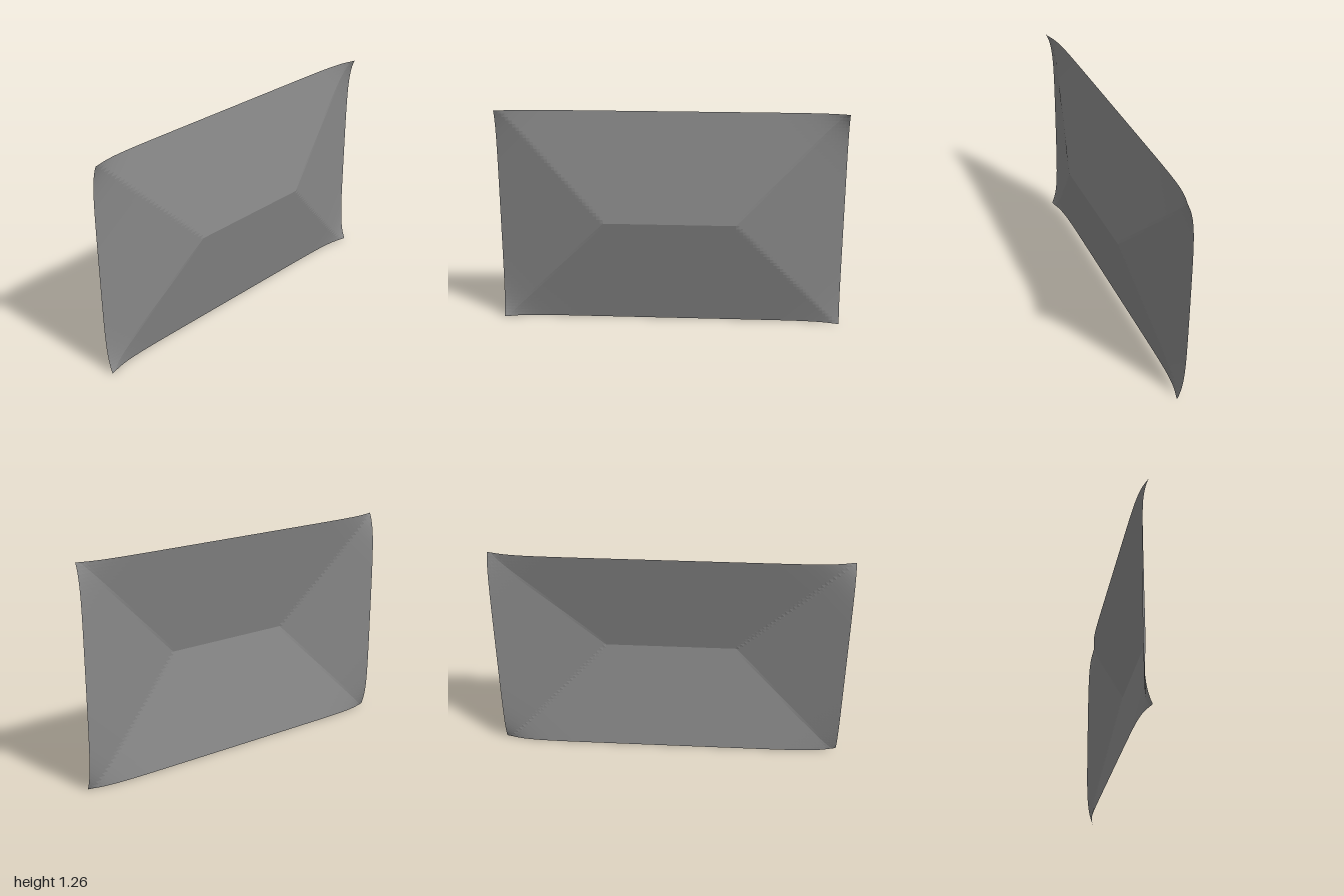
import * as THREE from 'three';

const W = 2, H = 1.26;        // panel size
const RIDGE = 0.38;           // half length of the central ridge
const PEAK = 0.067;           // depth of the ridge

// Hipped surface whose four corners curl forward
function depthAt(x, y) {
  const ax = Math.abs(x), ay = Math.abs(y);
  const slopes = Math.max(0.2145 * (ax - RIDGE), 0.202 * ay);
  const toCorner = (W / 2 - ax) + (H / 2 - ay);
  return PEAK - slopes + 0.043 * Math.exp(-toCorner / 0.09);
}

export function createModel() {
  const group = new THREE.Group();
  group.name = 'hippedPanel';

  // Thin open sheet of fine facets, shaped by the depth rule
  const geometry = new THREE.PlaneGeometry(W, H, 100, 64);
  const p = geometry.attributes.position;
  for (let i = 0; i < p.count; i++) {
    p.setZ(i, depthAt(p.getX(i), p.getY(i)));
  }
  geometry.translate(0, H / 2, 0);
  geometry.computeVertexNormals();

  const sheet = new THREE.Mesh(
    geometry,
    new THREE.MeshStandardMaterial({ color: 0x888888, flatShading: true, side: THREE.DoubleSide })
  );
  sheet.name = 'sheet';
  group.add(sheet);
  return group;
}
